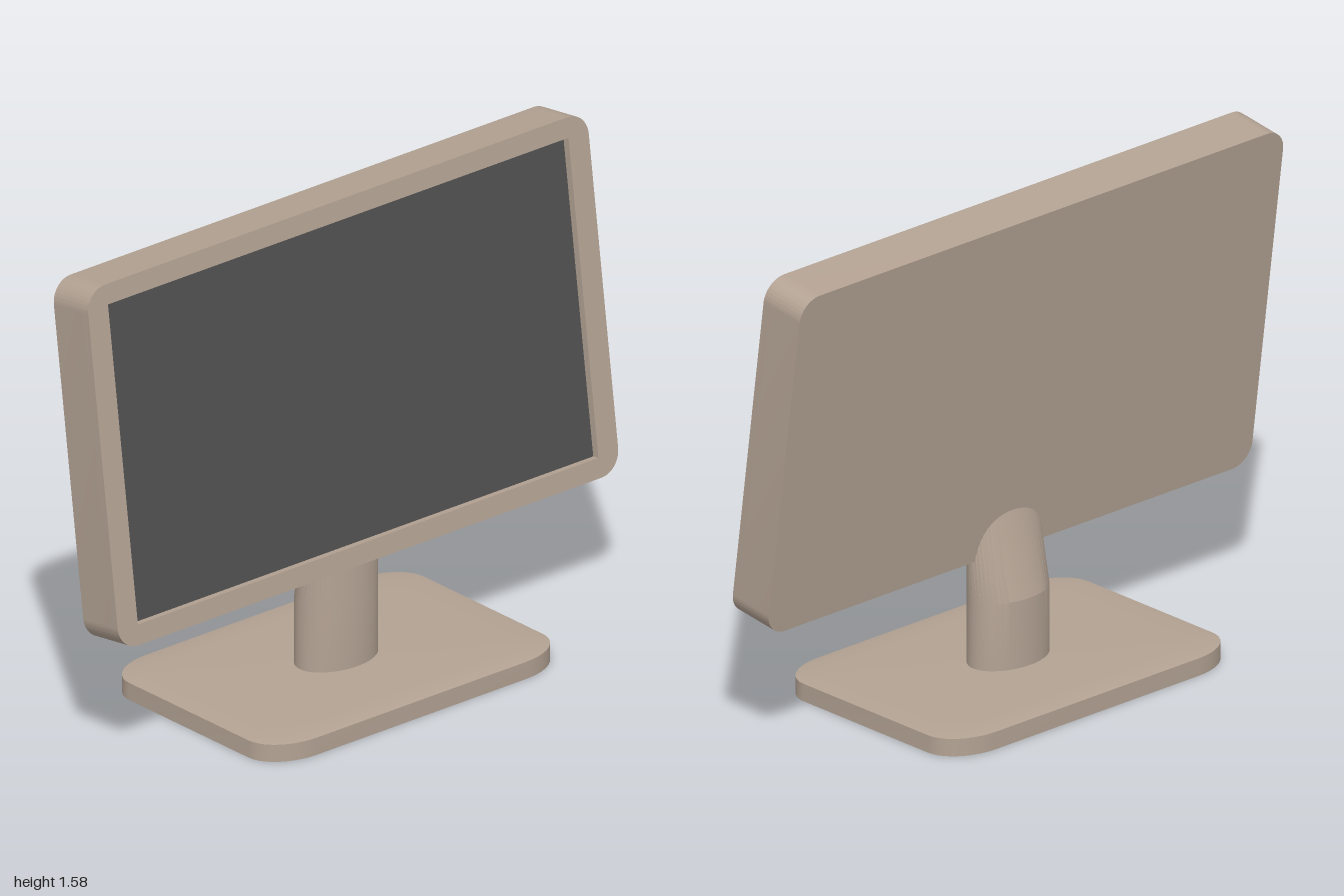
import * as THREE from 'three';
import { toCreasedNormals } from 'three/addons/utils/BufferGeometryUtils.js';

const shell = new THREE.MeshStandardMaterial({ color: 0xb3a293 });
const dark = new THREE.MeshStandardMaterial({ color: 0x505050 });

// Closed rectangle outline with elliptical corners, as [x, z] points
function roundedOutline(hx, hz, rx, rz, steps = 10) {
  const pts = [];
  const signs = [[1, 1], [-1, 1], [-1, -1], [1, -1]];
  signs.forEach(([sx, sz], corner) => {
    for (let i = 0; i <= steps; i++) {
      const a = (corner + i / steps) * Math.PI / 2;
      pts.push([sx * (hx - rx) + rx * Math.cos(a), sz * (hz - rz) + rz * Math.sin(a)]);
    }
  });
  return pts;
}

// Skin over scaled copies of an outline; each ring is [y, centreX, scaleX, scaleZ]
function loft(outline, rings, crease) {
  const pos = [], idx = [], n = outline.length;
  for (const [y, cx, sx, sz] of rings)
    for (const [x, z] of outline) pos.push(cx + x * sx, y, z * sz);
  for (let r = 0; r < rings.length - 1; r++)
    for (let i = 0; i < n; i++) {
      const a = r * n + i, b = r * n + (i + 1) % n;
      idx.push(a, a + n, b, b, a + n, b + n);
    }
  // end caps
  const bottom = pos.length / 3, top = bottom + 1, last = (rings.length - 1) * n;
  pos.push(rings[0][1], rings[0][0], 0);
  pos.push(rings.at(-1)[1], rings.at(-1)[0], 0);
  for (let i = 0; i < n; i++) {
    const j = (i + 1) % n;
    idx.push(bottom, i, j, top, last + j, last + i);
  }
  const g = new THREE.BufferGeometry();
  g.setAttribute('position', new THREE.Float32BufferAttribute(pos, 3));
  g.setIndex(idx);
  return toCreasedNormals(g, crease);
}

function roundedRect(w, h, r) {
  const s = new THREE.Shape(), x = w / 2, y = h / 2;
  s.moveTo(-x + r, -y);
  s.lineTo(x - r, -y);
  s.absarc(x - r, -y + r, r, -Math.PI / 2, 0);
  s.lineTo(x, y - r);
  s.absarc(x - r, y - r, r, 0, Math.PI / 2);
  s.lineTo(-x + r, y);
  s.absarc(-x + r, y - r, r, Math.PI / 2, Math.PI);
  s.lineTo(-x, -y + r);
  s.absarc(-x + r, -y + r, r, Math.PI, Math.PI * 1.5);
  return s;
}

function add(parent, name, geometry, material) {
  const mesh = new THREE.Mesh(geometry, material);
  mesh.name = name;
  parent.add(mesh);
  return mesh;
}

export function createModel() {
  const model = new THREE.Group();
  model.name = 'monitor';

  // Base plate with a very slightly crowned top
  const plate = roundedOutline(0.395, 0.588, 0.12, 0.17);
  add(model, 'base', loft(plate, [
    [0, 0, 1, 1], [0.057, 0, 1, 1], [0.062, 0, 0.94, 0.94], [0.065, 0, 0.78, 0.78],
  ], 0.6), shell);

  // Oval neck, upright below and tapering up into the back of the display
  const oval = Array.from({ length: 48 }, (_, i) => {
    const a = i / 48 * Math.PI * 2;
    return [Math.cos(a), Math.sin(a)];
  });
  add(model, 'neck', loft(oval, [
    [0.05, 0, 0.098, 0.145], [0.285, 0, 0.098, 0.145], [0.57, 0.028, 0.042, 0.14],
  ], 0.25), shell);

  // Display, leaning back and facing +x
  const display = new THREE.Group();
  display.name = 'display';
  display.position.y = 0.995;
  display.rotation.z = 0.135;
  model.add(display);

  const W = 2, H = 1.155, T = 0.16, recess = 0.026;
  const sw = 1.84, sh = 1.025;
  const slab = (shape, depth, x) => {
    const g = new THREE.ExtrudeGeometry(shape, { depth, bevelEnabled: false, curveSegments: 10 });
    g.rotateY(Math.PI / 2).translate(x, 0, 0);
    return toCreasedNormals(g, 0.6);
  };
  add(display, 'housing', slab(roundedRect(W, H, 0.075), T - recess, -T / 2), shell);

  // Bezel with a square-cornered opening
  const bezel = roundedRect(W, H, 0.075);
  const hole = new THREE.Path();
  hole.moveTo(-sw / 2, -sh / 2);
  hole.lineTo(-sw / 2, sh / 2);
  hole.lineTo(sw / 2, sh / 2);
  hole.lineTo(sw / 2, -sh / 2);
  hole.closePath();
  bezel.holes.push(hole);
  add(display, 'bezel', slab(bezel, recess, T / 2 - recess), shell);

  // Recessed screen
  const screen = add(display, 'screen', new THREE.BoxGeometry(0.004, sh, sw), dark);
  screen.position.x = T / 2 - recess;

  return model;
}
